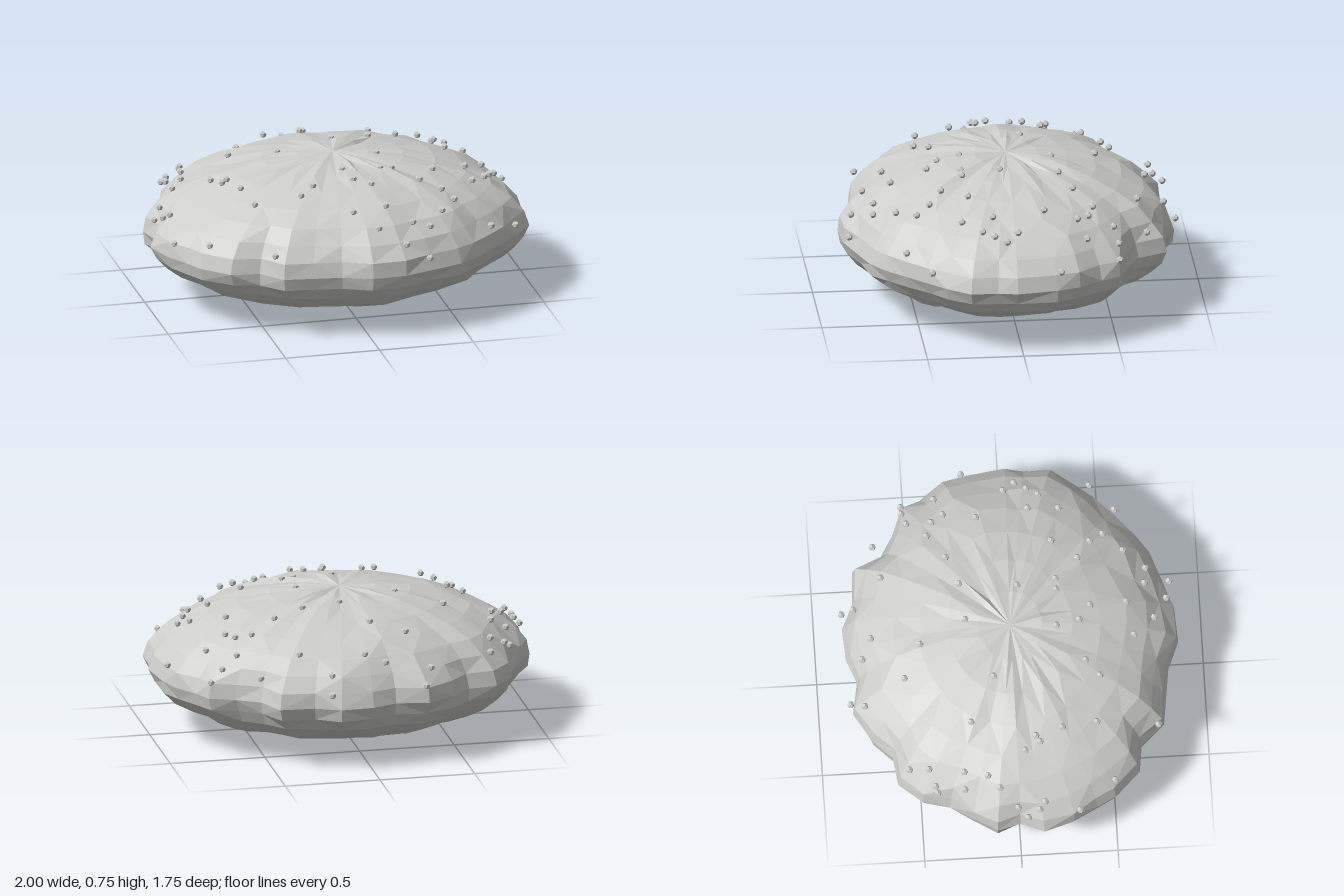
import * as THREE from 'three';

// Small seeded random generator
function seeded(seed) {
  return () => {
    seed = (seed * 1664525 + 1013904223) >>> 0;
    return seed / 4294967296;
  };
}

// Craggy outline at the widest ring, as x, z pairs running from +x towards +z
const OUTLINE = [
  1, .03, .98, .13, .98, .27, .89, .39, .8, .48, .7, .58, .6, .68, .5, .75, .33, .81, .18, .86,
  0, .87, -.15, .81, -.3, .79, -.45, .77, -.55, .65, -.7, .63, -.83, .5, -.88, .4, -.95, .28, -1, .12,
  -.95, 0, -.98, -.12, -.91, -.24, -.84, -.36, -.8, -.5, -.7, -.62, -.55, -.64, -.45, -.74, -.3, -.83, -.13, -.8,
  0, -.85, .17, -.86, .3, -.8, .48, -.79, .55, -.64, .67, -.57, .8, -.52, .85, -.42, .93, -.3, .97, -.18,
];

// Pebble places, as x, z pairs
const PEBBLES = [
  .22, -.86, .21, -.8, .02, -.72, -.08, -.77, -.28, -.84, -.32, -.77, .35, -.65, .56, -.68, .65, -.5, .73, -.52, .79, -.52,
  .55, -.4, .63, -.37, .67, -.31, .78, -.35, .95, -.2, .63, -.14, .41, -.31, .25, -.25, .05, -.23, -.06, -.47, -.23, -.56,
  -.68, -.56, -.7, -.46, -.78, -.43, -.74, -.28, -.82, -.28, -.5, -.23, -.77, -.16, -.83, -.1, -.27, -.1, -.66, .04,
  -.59, .1, -.55, .24, -.96, .04, -.9, .13, -.92, .31, -.52, .42, -.28, .45, -.2, .38, -.01, .24, .02, .36, .1, .42,
  .19, .25, .25, .25, .22, .05, .37, .37, .47, .44, .52, .51, .67, .13, .67, .29, .76, .19, .8, .13, .79, .01, .84, .07,
  .43, .61, .7, .58, .86, .46, .13, .61, -.05, .64, .06, .75, .19, .82, .31, .84, .25, .71, .34, .72, -.49, .74, -.78, .5,
  -.62, .12, -.92, -.01, -.93, .1, -.81, -.42, .47, .24,
];

const COLS = 40, RINGS = 16, WAIST = 0.35;

// Boulder body: straight meridians between the poles, each vertex pushed in or out from the centre
function boulderGeometry() {
  const rand = seeded(7);
  const jitter = (a) => (rand() * 2 - 1) * a;
  // ridges that run along each meridian, separate for the lower and upper halves
  const ridges = [0, 1].map(() => Array.from({ length: COLS }, () => jitter(0.02)));
  const pos = [0, 0.01, 0];
  for (let r = 1; r < RINGS; r++) {
    const phi = (Math.PI * r) / RINGS;
    const span = Math.sin(phi);
    const upper = r > RINGS / 2;
    const height = -Math.cos(phi) * (upper ? 0.402 : 0.34);
    // the outline's crags soften into an ellipse away from the waist
    const crag = span ** 4;
    for (let c = 0; c < COLS; c++) {
      const x = OUTLINE[c * 2], z = OUTLINE[c * 2 + 1];
      const smooth = 1 / Math.hypot(x / 0.96, z / 0.84);
      const push = r === RINGS / 2 ? 1 : 1 + ridges[+upper][c] * (1 - crag) + jitter(0.014);
      const s = span * push * THREE.MathUtils.lerp(smooth, 1, crag);
      pos.push(x * s, Math.max(WAIST + height * push, 0), z * s);
    }
  }
  pos.push(0, 0.75, 0);

  const top = pos.length / 3 - 1;
  const at = (r, c) => 1 + (r - 1) * COLS + (c % COLS);
  const index = [];
  for (let c = 0; c < COLS; c++) {
    index.push(0, at(1, c), at(1, c + 1));
    for (let r = 1; r < RINGS - 1; r++) {
      const a = at(r, c), b = at(r + 1, c), d = at(r + 1, c + 1), e = at(r, c + 1);
      // alternate the diagonals so the facets do not swirl
      if ((r + c) % 2) index.push(a, b, d, a, d, e);
      else index.push(a, b, e, b, d, e);
    }
    index.push(at(RINGS - 1, c), top, at(RINGS - 1, c + 1));
  }
  const indexed = new THREE.BufferGeometry();
  indexed.setAttribute('position', new THREE.Float32BufferAttribute(pos, 3));
  indexed.setIndex(index);
  const flat = indexed.toNonIndexed(); // split corners give faceted shading
  flat.computeVertexNormals();
  return flat;
}

export function createModel() {
  const group = new THREE.Group();
  group.name = 'boulder';
  const stone = new THREE.MeshStandardMaterial({ color: 0xcdcdca });
  stone.name = 'stone grey';

  const body = new THREE.Mesh(boulderGeometry(), stone);
  body.name = 'boulderBody';
  group.add(body);

  // Pebbles scattered over the upper half, on a slightly flattened dome
  const pebbles = new THREE.Group();
  pebbles.name = 'pebbles';
  const pebbleGeometry = new THREE.DodecahedronGeometry(0.019, 0);
  for (let i = 0; i < PEBBLES.length; i += 2) {
    const x = PEBBLES[i], z = PEBBLES[i + 1];
    const d = (x * x + (z / 0.9) ** 2) ** 1.2;
    const pebble = new THREE.Mesh(pebbleGeometry, stone);
    pebble.name = 'pebble';
    pebble.position.set(x, WAIST + 0.395 * Math.sqrt(Math.max(1 - d, 0.04)), z);
    pebbles.add(pebble);
  }
  group.add(pebbles);
  return group;
}
